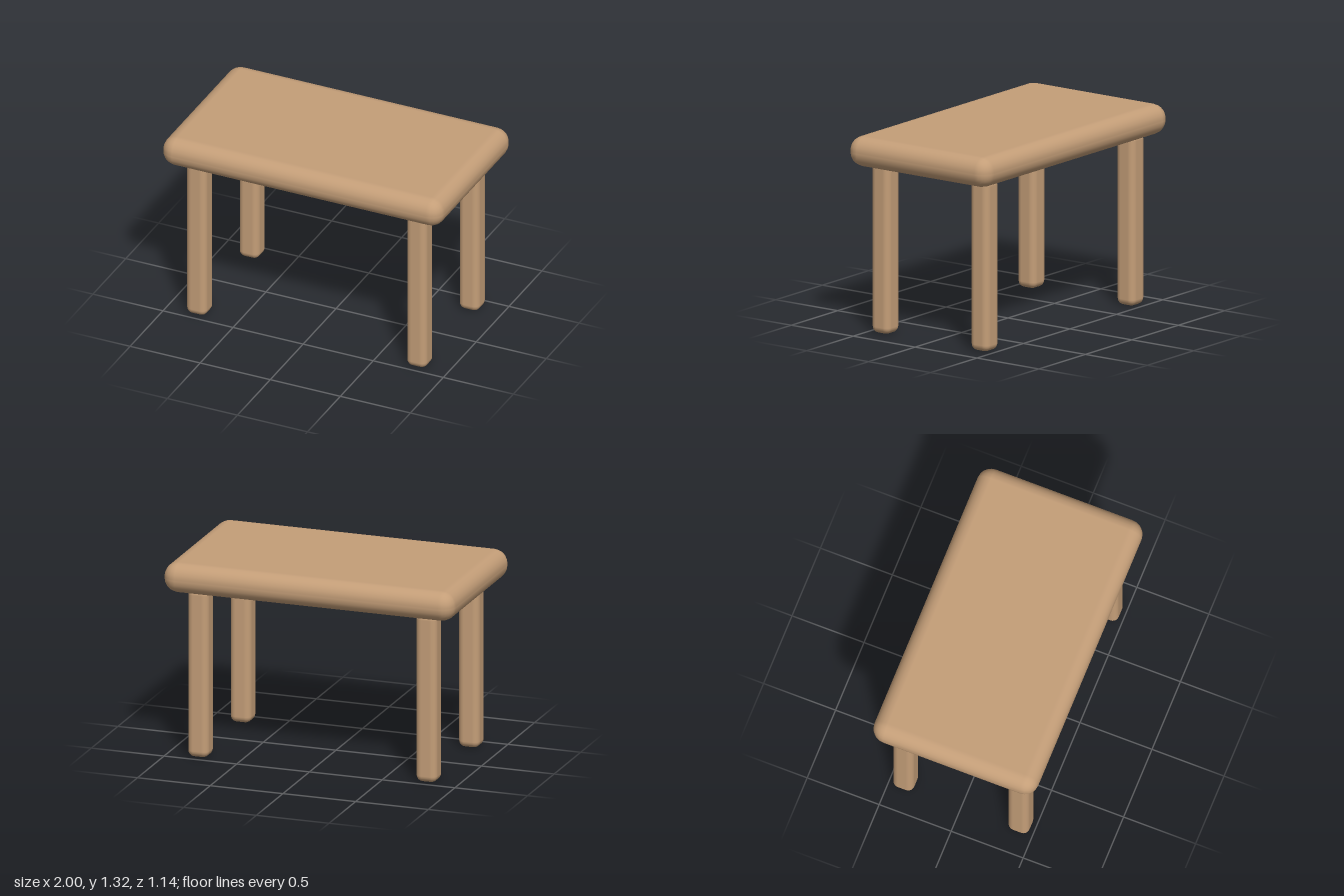
import * as THREE from 'three';
import { RoundedBoxGeometry } from 'three/addons/geometries/RoundedBoxGeometry.js';

export function createModel() {
  const table = new THREE.Group();
  table.name = 'table';
  const wood = new THREE.MeshStandardMaterial({ color: 0xc49e78 });

  const addPart = (name, geometry, x, y, z) => {
    const mesh = new THREE.Mesh(geometry, wood);
    mesh.name = name;
    mesh.position.set(x, y, z);
    table.add(mesh);
  };

  // Thick slab with softly rounded edges
  addPart('tableTop', new RoundedBoxGeometry(2, 0.2, 1.14, 3, 0.095), 0, 1.217, 0);

  // Four rounded square legs, their tops sunk into the slab
  const legHeight = 1.14;
  const legGeometry = new RoundedBoxGeometry(0.143, legHeight, 0.143, 3, 0.043);
  for (const [end, z] of [['front', 0.4], ['back', -0.4]]) {
    for (const [side, x] of [['Left', 0.785], ['Right', -0.785]]) {
      addPart(`${end}${side}Leg`, legGeometry, x, legHeight / 2, z);
    }
  }
  return table;
}
